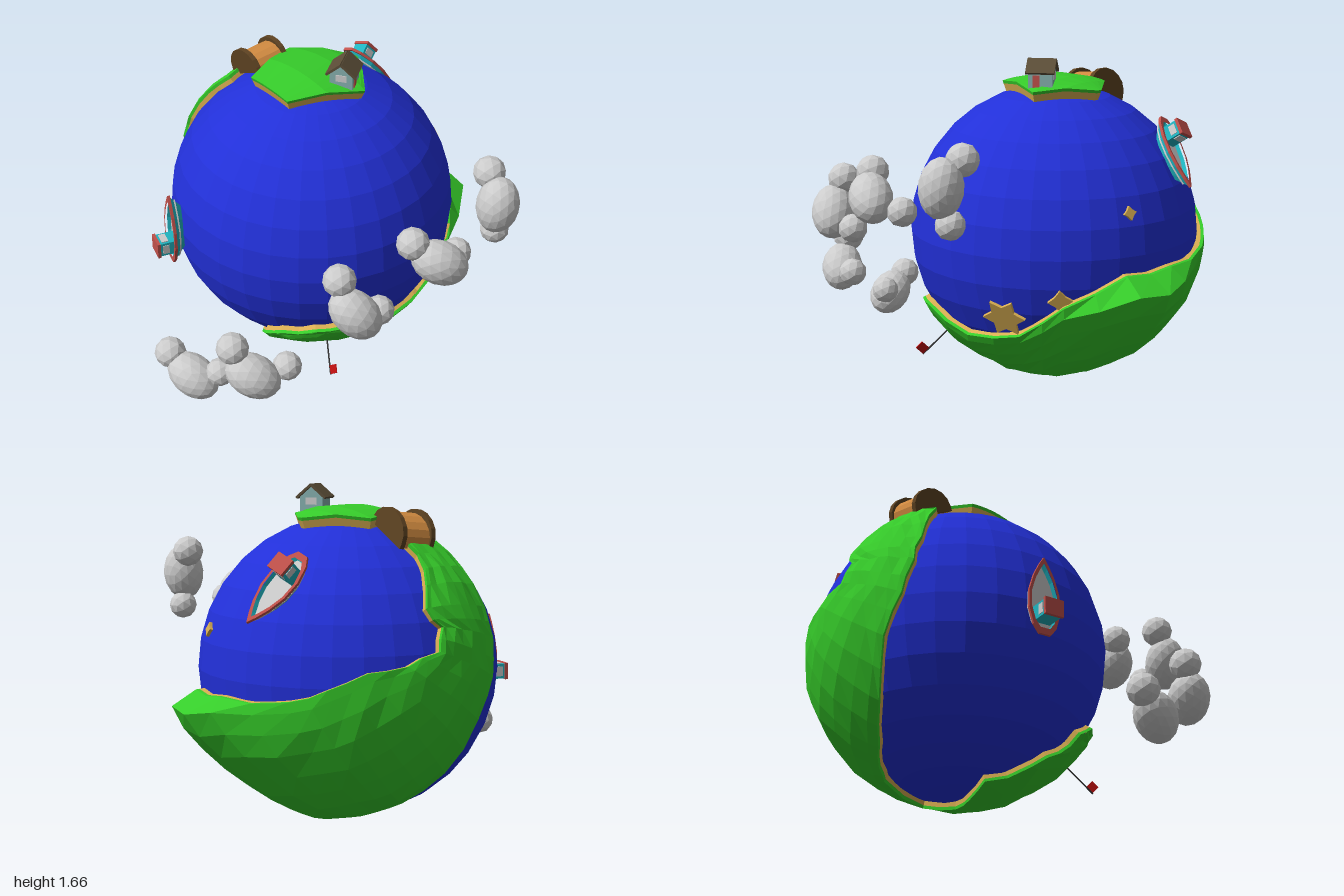
import * as THREE from 'three';

const V = (x, y, z) => new THREE.Vector3(x, y, z);
const CENTER = V(0.11, 0.765, -0.22);
const R = 0.735;
const mat = (color, side = THREE.FrontSide) =>
  new THREE.MeshStandardMaterial({ color, flatShading: true, side });
const GREEN = mat(0x36cc2a, THREE.DoubleSide), SAND = mat(0xd9ae52, THREE.DoubleSide);
const SEA = mat(0x2230d8), GREY = mat(0xcccccc), RED = mat(0xc0504a), CYAN = mat(0x20b4c0);
const WOOD = mat(0xd08a40), DARKWOOD = mat(0x5e4322), WALL = mat(0x86b0ae), ROOF = mat(0x5c4e38);
const FLAG = mat(0xc01010), POLE = mat(0x333333);

let seed = 7;
const jitter = (a) => {
  seed = (seed * 16807) % 2147483647;
  return (seed / 2147483647 - 0.5) * 2 * a;
};

function add(parent, name, geometry, material, x = 0, y = 0, z = 0) {
  const m = new THREE.Mesh(geometry, material);
  m.name = name;
  m.position.set(x, y, z);
  parent.add(m);
  return m;
}

// Direction between two directions, along the sphere
function slerp(a, b, t) {
  const w = a.angleTo(b);
  if (w < 1e-4) return a.clone();
  return a.clone().multiplyScalar(Math.sin((1 - t) * w)).addScaledVector(b, Math.sin(t * w)).normalize();
}

// Group sitting on the globe: local y points outward, local z along "ahead"
function onGlobe(name, normal, ahead, radius) {
  const g = new THREE.Group();
  g.name = name;
  const y = normal.clone().normalize();
  const x = new THREE.Vector3().crossVectors(y, ahead).normalize();
  const z = new THREE.Vector3().crossVectors(x, y);
  g.quaternion.setFromRotationMatrix(new THREE.Matrix4().makeBasis(x, y, z));
  g.position.copy(CENTER).addScaledVector(y, radius);
  return g;
}

function quadGeometry(quads) {
  const pos = [];
  for (const [a, b, c, d] of quads) for (const p of [a, b, c, a, c, d]) pos.push(p.x, p.y, p.z);
  const g = new THREE.BufferGeometry();
  g.setAttribute('position', new THREE.Float32BufferAttribute(pos, 3));
  g.computeVertexNormals();
  return g;
}

// Raised land: a grid between two shorelines, with a green lip over a sandy rim
function land(name, pairs, height, rough) {
  const group = new THREE.Group();
  group.name = name;
  const ends = pairs.map((p) => [V(p[0], p[1], p[2]).normalize(), V(p[3], p[4], p[5]).normalize()]);
  const rows = [];
  ends.forEach((e, i) => {
    rows.push(e);
    if (i + 1 < ends.length) {
      rows.push([0, 1].map((k) => slerp(e[k], ends[i + 1][k], 0.5)
        .add(V(jitter(rough), jitter(rough), jitter(rough))).normalize()));
    }
  });
  const steps = [0, 0.06, 0.18, 0.32, 0.48, 0.64, 0.8, 0.93, 1];
  const last = steps.length - 1;
  const hill = V(0.97, -0.15, 0.25);
  const dirs = rows.map(([a, b]) => steps.map((t) => slerp(a, b, t)));
  const at = (dir, r) => CENTER.clone().addScaledVector(dir, r);
  const top = dirs.map((row) => row.map((d, j) => {
    const inner = j > 0 && j < last;
    const bulge = inner ? 0.14 * Math.exp(-d.distanceToSquared(hill) / 0.14) : 0;
    return at(d, height + bulge + (inner ? jitter(rough * 0.35) : 0));
  }));
  const quads = [];
  for (let i = 0; i + 1 < top.length; i++)
    for (let j = 0; j < last; j++)
      quads.push([top[i][j], top[i + 1][j], top[i + 1][j + 1], top[i][j + 1]]);
  // Outline of the grid, walked once around
  const n = dirs.length - 1;
  const loop = [
    ...dirs.map((r) => r[0]), ...dirs[n].slice(1, last),
    ...dirs.map((r) => r[last]).reverse(), ...dirs[0].slice(1, last).reverse(),
  ];
  const wall = (lo, hi) => loop.map((p, k) => {
    const q = loop[(k + 1) % loop.length];
    return [at(p, lo), at(q, lo), at(q, hi), at(p, hi)];
  });
  const mid = height - 0.016;
  add(group, name + 'Grass', quadGeometry([...quads, ...wall(mid, height)]), GREEN);
  add(group, name + 'Sand', quadGeometry(wall(0.715, mid)), SAND);
  return group;
}

// Flat ragged patch of sand
function sandPatch(x, y, z, size, points) {
  const g = onGlobe('sandPatch', V(x, y, z).sub(CENTER), V(0, 1, 0.1), R - 0.004);
  const s = new THREE.Shape();
  for (let i = 0; i < points * 2; i++) {
    const a = (i * Math.PI) / points, r = size * (i % 2 ? 0.6 : 1);
    s[i ? 'lineTo' : 'moveTo'](Math.cos(a) * r, Math.sin(a) * r);
  }
  const geo = new THREE.ExtrudeGeometry(s, { depth: 0.016, bevelEnabled: false }).rotateX(-Math.PI / 2);
  add(g, 'sand', geo, SAND);
  return g;
}

function boat(name, normal, bow) {
  const g = onGlobe(name, normal, bow, 0.772);
  // Half-widths from stern to bow
  const half = [[-0.19, 0.03], [-0.15, 0.06], [-0.07, 0.083], [0.02, 0.08], [0.1, 0.055], [0.16, 0.025], [0.2, 0]];
  const outline = (k) => [...half, ...half.slice(0, -1).reverse().map(([z, x]) => [z, -x])]
    .map(([z, x]) => new THREE.Vector2(x * k, -z * k));
  const ring = (k, y) => outline(k).map((p) => V(p.x, y, -p.y));
  const low = ring(0.6, -0.06), high = ring(0.97, 0);
  const quads = low.map((p, i) => {
    const j = (i + 1) % low.length;
    return [p, low[j], high[j], high[i]];
  });
  add(g, 'hull', quadGeometry(quads), mat(0x20b4c0, THREE.DoubleSide));
  const flat = (shape, depth) => new THREE.ExtrudeGeometry(shape, { depth, bevelEnabled: false }).rotateX(-Math.PI / 2);
  const rim = new THREE.Shape(outline(1.03));
  rim.holes.push(new THREE.Path(outline(0.86)));
  add(g, 'rim', flat(rim, 0.014), RED);
  add(g, 'deck', flat(new THREE.Shape(outline(0.87)), 0.008), GREY, 0, -0.025, 0);
  // Cabin towards the stern
  add(g, 'cabin', new THREE.BoxGeometry(0.09, 0.1, 0.075), CYAN, 0, 0.03, -0.09);
  add(g, 'frontWindow', new THREE.BoxGeometry(0.065, 0.035, 0.006), GREY, 0, 0.05, -0.051);
  for (const s of [-1, 1])
    add(g, 'sideWindow', new THREE.BoxGeometry(0.006, 0.035, 0.05), GREY, s * 0.045, 0.05, -0.09);
  add(g, 'cabinRoof', new THREE.BoxGeometry(0.1, 0.016, 0.085), RED, 0, 0.087, -0.09);
  return g;
}

function bridge() {
  const g = onGlobe('bridge', V(-0.055, 0.83, -0.44), V(0.08, -0.45, -0.85), 0.735);
  const arch = (radius, height, width) => {
    const s = new THREE.Shape();
    s.moveTo(-radius, 0);
    for (let i = 0; i <= 8; i++) {
      const a = Math.PI - (i * Math.PI) / 8;
      s.lineTo(Math.cos(a) * radius, 0.025 + Math.sin(a) * height);
    }
    s.lineTo(radius, 0);
    return new THREE.ExtrudeGeometry(s, { depth: width, bevelEnabled: false })
      .translate(0, 0, -width / 2).rotateY(Math.PI / 2);
  };
  add(g, 'deck', arch(0.118, 0.083, 0.16), WOOD);
  for (const s of [-1, 1]) add(g, 'rail', arch(0.128, 0.105, 0.025), DARKWOOD, s * 0.085, 0, 0);
  return g;
}

function house() {
  const g = new THREE.Group();
  g.name = 'house';
  const body = new THREE.Shape([[-0.058, 0], [0.058, 0], [0.058, 0.09], [0, 0.14], [-0.058, 0.09]]
    .map(([x, y]) => new THREE.Vector2(x, y)));
  add(g, 'walls', new THREE.ExtrudeGeometry(body, { depth: 0.12, bevelEnabled: false }), WALL, 0, 0, -0.06);
  for (const s of [-1, 1]) {
    const slope = add(g, 'roof', new THREE.BoxGeometry(0.098, 0.012, 0.145), ROOF, s * 0.037, 0.118, 0);
    slope.rotation.z = -s * 0.71;
    add(g, 'window', new THREE.BoxGeometry(0.055, 0.035, 0.008), GREY, 0, 0.07, s * 0.06);
  }
  add(g, 'door', new THREE.BoxGeometry(0.008, 0.06, 0.035), RED, -0.058, 0.045, -0.02);
  g.position.set(0.18, 1.495, -0.05);
  g.rotation.y = Math.atan2(0.83, -0.55);
  return g;
}

// Cloud: one stretched puff and two smaller ones
function cloud(main, axis, puffs) {
  const g = new THREE.Group();
  g.name = 'cloud';
  const big = add(g, 'largePuff', new THREE.IcosahedronGeometry(1, 2), GREY, ...main);
  big.scale.set(0.105, 0.145, 0.105);
  big.quaternion.setFromUnitVectors(V(0, 1, 0), V(...axis).normalize());
  puffs.forEach((p, i) => {
    const puff = add(g, 'smallPuff', new THREE.IcosahedronGeometry(1, 1), GREY, ...p);
    puff.scale.setScalar(i ? 0.072 : 0.08);
  });
  return g;
}

export function createModel() {
  const model = new THREE.Group();
  model.name = 'tinyPlanet';
  add(model, 'ocean', new THREE.SphereGeometry(R, 32, 16), SEA).position.copy(CENTER);

  // Continent, as pairs of shore directions from the bridge round to the front
  model.add(land('continent', [
    [0.02, 0.82, -0.58, -0.27, 0.81, -0.53], [0.02, 0.67, -0.75, -0.35, 0.65, -0.675],
    [0.126, 0.45, -0.88, -0.42, 0.415, -0.81], [0.05, 0.34, -0.94, -0.43, 0.23, -0.88],
    [0.1, 0.2, -0.97, -0.38, 0, -0.92], [0.32, 0.13, -0.94, -0.25, -0.25, -0.93],
    [0.54, 0.1, -0.84, -0.1, -0.58, -0.8], [0.72, 0, -0.69, 0.08, -0.78, -0.62],
    [0.86, -0.08, -0.49, 0.2, -0.85, -0.5], [0.99, -0.1, 0, 0.28, -0.89, -0.37],
    [0.93, -0.11, 0.35, 0.35, -0.94, 0.05], [0.69, -0.3, 0.66, 0.09, -0.99, 0.08],
    [0.4, -0.52, 0.755, -0.1, -0.98, 0], [0, -0.58, 0.81, -0.31, -0.95, -0.09],
    [-0.36, -0.455, 0.815, -0.5, -0.82, 0.1], [-0.55, -0.47, 0.69, -0.6, -0.72, 0.25],
    [-0.69, -0.52, 0.5, -0.7, -0.6, 0.35],
  ], 0.772, 0.02));
  model.add(land('island', [
    [-0.25, 0.735, 0.12, -0.24, 0.735, -0.18], [0.11, 0.73, 0.28, 0.09, 0.73, -0.28],
    [0.3, 0.735, 0.015, 0.3, 0.735, -0.015],
  ], 0.79, 0));
  model.add(sandPatch(0.36, 0.46, 0.4, 0.11, 6), sandPatch(0.6, 0.57, 0.27, 0.06, 4),
    sandPatch(0.78, 0.97, -0.01, 0.035, 4));

  model.add(bridge(), house());
  model.add(boat('rightBoat', V(-0.955, 0.01, -0.3), V(0, 1, 0)));
  model.add(boat('leftBoat', V(0.78, 0.56, -0.29), V(0.31, -0.33, 0.1)));

  // Flag planted on the underside
  const flag = onGlobe('flag', V(-0.39, -0.68, 0.62), V(0, 0.67, 0.74), 0.76);
  add(flag, 'pole', new THREE.CylinderGeometry(0.004, 0.004, 0.2, 6), POLE, 0, 0.09, 0);
  add(flag, 'cloth', new THREE.BoxGeometry(0.005, 0.045, 0.065), FLAG, 0, 0.165, 0.033);
  model.add(flag);

  model.add(
    cloud([0.385, 1.16, 0.83], [0.1, 1, 0], [[0.42, 1.28, 0.73], [0.41, 0.99, 0.8]]),
    cloud([-0.04, 1.06, 0.88], [0.7, -0.45, 0.45], [[-0.13, 1.16, 0.79], [0.12, 1.01, 0.83]]),
    cloud([-0.46, 0.91, 0.77], [0.5, -0.7, 0.5], [[-0.48, 1.06, 0.68], [-0.31, 0.85, 0.77]]),
    cloud([-0.81, 0.5, 0.44], [0.6, -0.5, 0.6], [[-0.86, 0.64, 0.35], [-0.65, 0.51, 0.5]]),
    cloud([-0.885, 0.26, 0.04], [0.3, -0.4, 0.8], [[-0.92, 0.34, -0.1], [-0.8, 0.31, 0.15]]),
  );
  return model;
}
